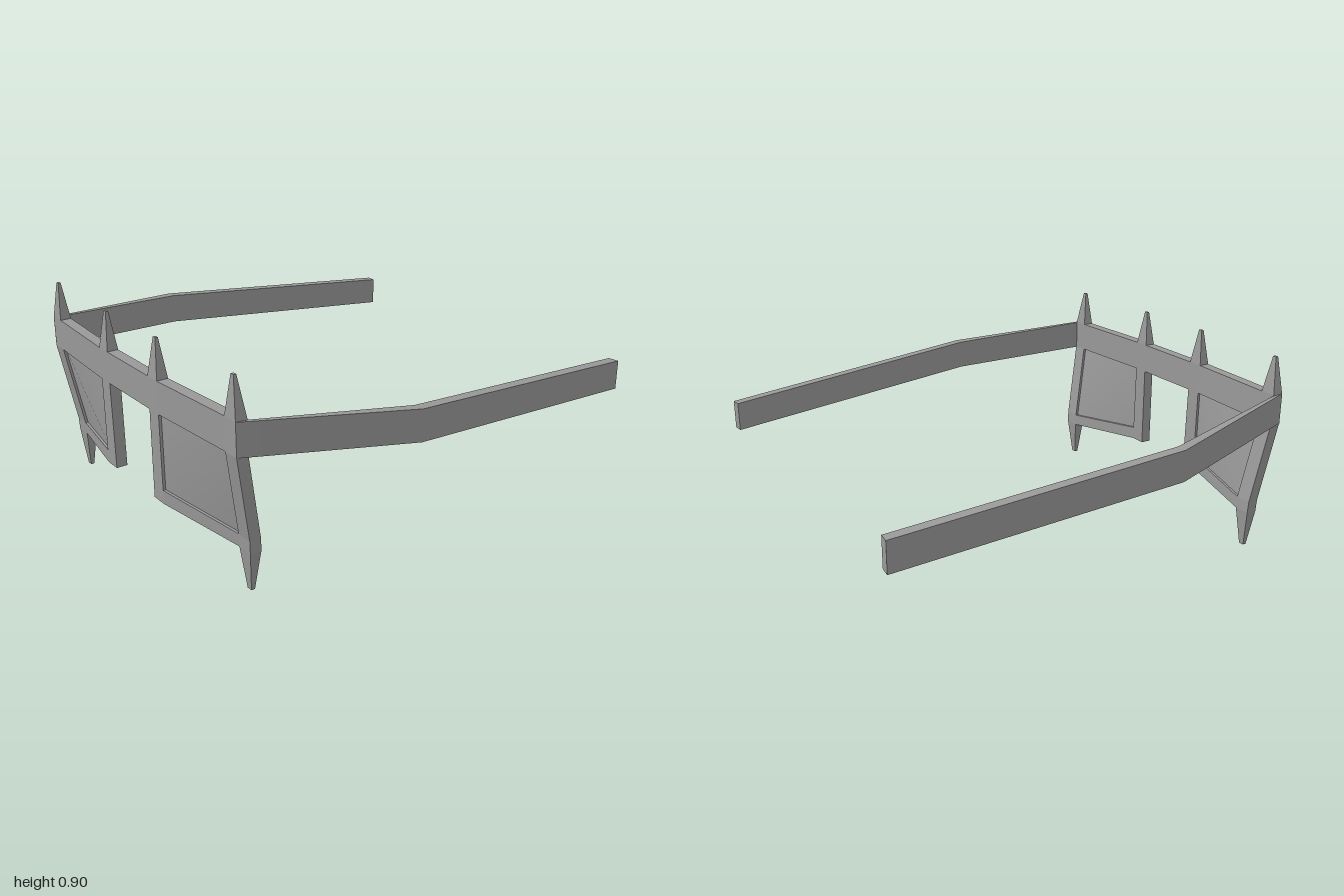
import * as THREE from 'three';
import { toCreasedNormals } from 'three/addons/utils/BufferGeometryUtils.js';

const material = new THREE.MeshStandardMaterial({ color: 0x999999 });
const DEPTH = 0.05;

// Solid through four-cornered rings; the first ring runs counter-clockwise seen from outside.
function loft(name, rings, side = 1) {
  const pos = [];
  const quad = (a, b, c, d) => {
    const tris = side > 0 ? [a, b, c, a, c, d] : [a, c, b, a, d, c];
    for (const [x, y, z] of tris) pos.push(x * side, y, z);
  };
  quad(...rings[0]);
  for (let i = 0; i < rings.length - 1; i++) {
    const a = rings[i], b = rings[i + 1];
    for (let j = 0; j < 4; j++) {
      const k = (j + 1) % 4;
      quad(a[j], b[j], b[k], a[k]);
    }
  }
  quad(...[...rings[rings.length - 1]].reverse());
  const geometry = new THREE.BufferGeometry();
  geometry.setAttribute('position', new THREE.Float32BufferAttribute(pos, 3));
  const mesh = new THREE.Mesh(toCreasedNormals(geometry, 0.5), material);
  mesh.name = name;
  return mesh;
}

// Plate given by its front corners, thickened backwards.
function plate(name, corners, side, inset = 0) {
  const shift = (dz) => corners.map(([x, y, z]) => [x, y, z + dz]);
  return loft(name, [shift(-inset), shift(inset - DEPTH)], side);
}

// Horizontal rectangle used for the spikes.
const level = (x, y, z, w, d) => [
  [x - w, y, z + d], [x + w, y, z + d], [x + w, y, z - d], [x - w, y, z - d],
];

// Vertical cross-section of a temple, falling towards the back.
function templeSection(inner, outer, zInner, zOuter) {
  const low = (z) => 0.43 + (z + 1) * 0.0866;
  const high = (z) => 0.565 + (z + 1) * 0.0886;
  return [
    [inner, low(zInner), zInner], [outer, low(zOuter), zOuter],
    [outer, high(zOuter), zOuter], [inner, high(zInner), zInner],
  ];
}

function createHalf(side, name) {
  const half = new THREE.Group();
  half.name = name;

  // Corners of the lens opening
  const innerTop = [0.245, 0.6, 1], outerTop = [0.69, 0.6, 0.975];
  const outerLow = [0.66, 0.23, 0.912], innerLow = [0.245, 0.27, 1];
  // Outer rim corners
  const rimTop = [0.765, 0.6, 0.975], rimLow = [0.737, 0.23, 0.912];
  const footRim = [0.735, 0.175, 0.91], footOuter = [0.66, 0.175, 0.91];
  const footInner = [0.245, 0.21, 1];

  half.add(
    // Brow band
    plate('browBand', [innerTop, outerTop, [0.69, 0.74, 0.975], [0.245, 0.74, 1]], side),
    plate('browCorner', [outerTop, rimTop, [0.765, 0.74, 0.975], [0.69, 0.74, 0.975]], side),
    // Rim around the lens
    plate('innerRim', [[0.168, 0.21, 1], footInner, innerTop, [0.173, 0.6, 1]], side),
    plate('lowerRim', [footInner, footOuter, outerLow, innerLow], side),
    plate('outerRim', [outerLow, rimLow, rimTop, outerTop], side),
    plate('rimCorner', [footOuter, footRim, rimLow, outerLow], side),
    plate('lens', [innerLow, outerLow, outerTop, innerTop], side, 0.012),
    // Spikes
    loft('innerSpike', [level(0.21, 0.905, 0.975, 0.009, 0.006), level(0.21, 0.74, 0.975, 0.037, 0.025)], side),
    loft('outerSpike', [level(0.727, 0.905, 0.953, 0.009, 0.006), level(0.728, 0.74, 0.95, 0.037, 0.025)], side),
    loft('lowerSpike', [level(0.6975, 0.175, 0.885, 0.0375, 0.025), level(0.696, 0, 0.885, 0.013, 0.008)], side),
    // Temple, bent outwards and then back in
    loft('temple', [
      templeSection(0.762, 0.766, 0.925, 0.975),
      templeSection(0.915, 0.963, 0.27, 0.27),
      templeSection(0.837, 0.886, -0.995, -1),
    ], side),
  );
  return half;
}

export function createModel() {
  const model = new THREE.Group();
  model.name = 'spikedGlasses';
  // Bridge between the two halves of the brow
  model.add(plate('bridge', [[-0.245, 0.6, 1], [0.245, 0.6, 1], [0.245, 0.74, 1], [-0.245, 0.74, 1]], 1));
  model.add(createHalf(1, 'leftHalf'), createHalf(-1, 'rightHalf'));
  return model;
}
